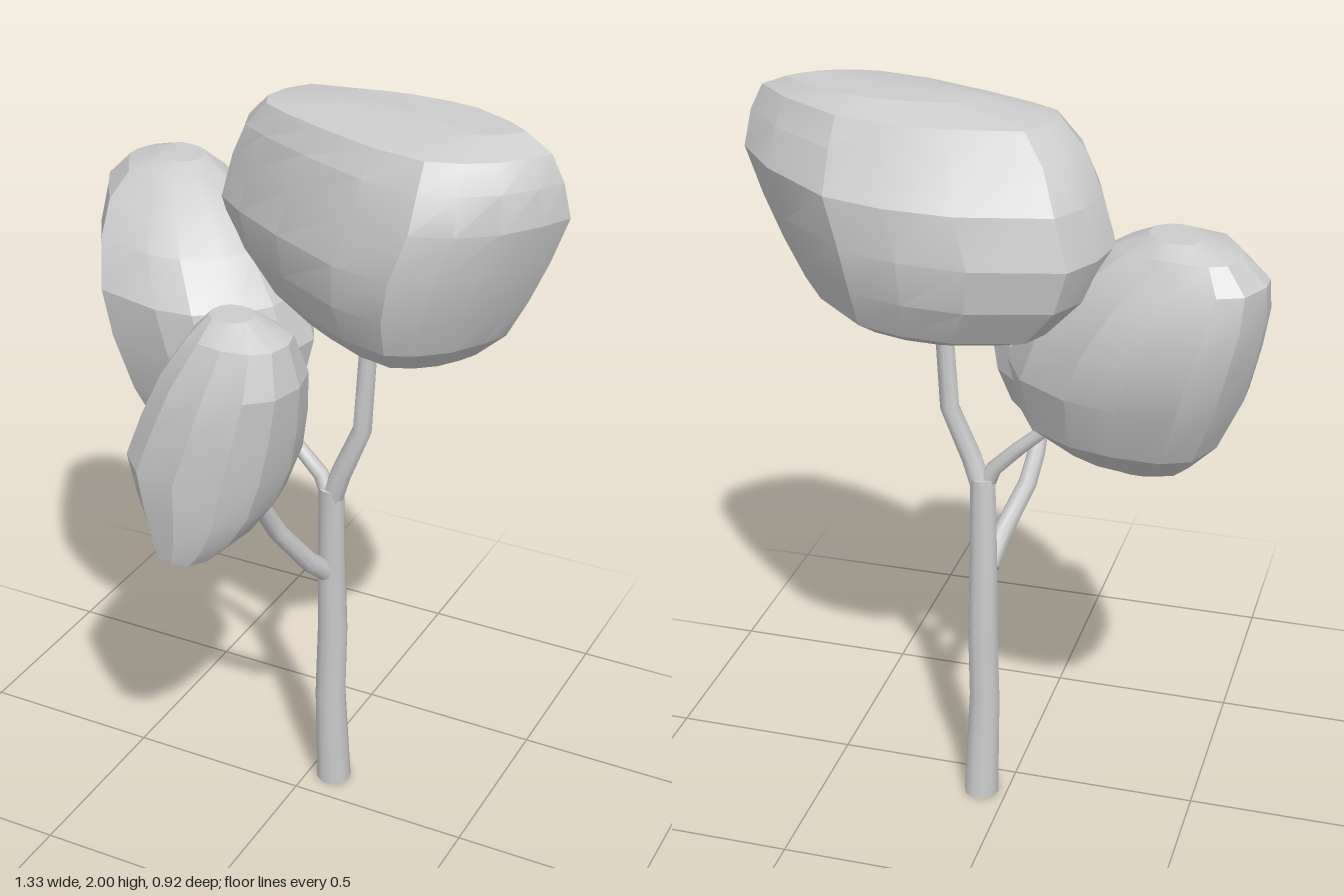
import * as THREE from 'three';
import { toCreasedNormals } from 'three/addons/utils/BufferGeometryUtils.js';

const material = new THREE.MeshStandardMaterial({ color: 0xcccccc });

// Skin a stack of equal-length rings and close both ends
function loft(rings, crease) {
  const n = rings[0].length, pos = [], index = [];
  rings.forEach((r) => r.forEach((p) => pos.push(p.x, p.y, p.z)));
  for (let k = 0; k < rings.length - 1; k++) {
    for (let i = 0; i < n; i++) {
      const a = k * n + i, b = k * n + ((i + 1) % n);
      index.push(a, a + n, b, b, a + n, b + n);
    }
  }
  const cap = (k, top) => {
    const c = new THREE.Vector3();
    rings[k].forEach((p) => c.addScaledVector(p, 1 / n));
    const ci = pos.length / 3;
    pos.push(c.x, c.y, c.z);
    for (let i = 0; i < n; i++) {
      const a = k * n + i, b = k * n + ((i + 1) % n);
      if (top) index.push(a, ci, b);
      else index.push(b, ci, a);
    }
  };
  cap(0, false);
  cap(rings.length - 1, true);
  const g = new THREE.BufferGeometry();
  g.setAttribute('position', new THREE.Float32BufferAttribute(pos, 3));
  g.setIndex(index);
  return toCreasedNormals(g, crease);
}

// Leaf mass: a plan outline [x, z] fitted into each level [y, xMin, xMax, zMin, zMax]
function crown(name, outline, levels) {
  const box = new THREE.Box2().setFromPoints(outline.map(([x, z]) => new THREE.Vector2(x, z)));
  const { min, max } = box;
  const rings = levels.map(([y, x0, x1, z0, z1]) => outline.map(([x, z]) => new THREE.Vector3(
    THREE.MathUtils.mapLinear(x, min.x, max.x, x0, x1), y,
    THREE.MathUtils.mapLinear(z, min.y, max.y, z0, z1))));
  const mesh = new THREE.Mesh(loft(rings, 0.32), material);
  mesh.name = name;
  return mesh;
}

// Tapered limb through points [x, y, z, radius]
function limb(name, points, sides = 8) {
  const at = points.map(([x, y, z]) => new THREE.Vector3(x, y, z));
  const rings = points.map(([, , , r], k) => {
    const w = at[Math.min(k + 1, at.length - 1)].clone().sub(at[Math.max(k - 1, 0)]).normalize();
    if (k === 0 && at[0].y === 0) w.set(0, 1, 0);
    const u = new THREE.Vector3(1, 0, 0).addScaledVector(w, -w.x).normalize();
    const v = u.clone().cross(w);
    return Array.from({ length: sides }, (_, i) => {
      const t = (i / sides) * Math.PI * 2;
      return at[k].clone().addScaledVector(u, r * Math.cos(t)).addScaledVector(v, r * Math.sin(t));
    });
  });
  const mesh = new THREE.Mesh(loft(rings, 0.9), material);
  mesh.name = name;
  return mesh;
}

export function createModel() {
  const tree = new THREE.Group();
  tree.name = 'tree';

  // Trunk and its three branches
  tree.add(
    limb('trunk', [
      [0.071, 0, -0.098, 0.048], [0.064, 0.3, -0.085, 0.042], [0.066, 0.5, -0.09, 0.041],
      [0.066, 0.75, -0.078, 0.037], [0.07, 0.96, -0.066, 0.034],
    ], 10),
    limb('upperBranch', [
      [0.07, 0.92, -0.066, 0.03], [0.1, 1.01, -0.062, 0.028],
      [0.157, 1.15, -0.064, 0.026], [0.17, 1.45, -0.072, 0.024],
    ]),
    limb('rightBranch', [
      [0.07, 0.92, -0.065, 0.024], [0.04, 0.99, -0.065, 0.021],
      [-0.03, 1.06, -0.066, 0.019], [-0.13, 1.15, -0.07, 0.016],
    ]),
    limb('frontBranch', [
      [0.055, 0.7, -0.065, 0.03], [0.04, 0.76, 0.005, 0.027],
      [-0.01, 0.88, 0.085, 0.025], [-0.022, 0.95, 0.125, 0.024], [-0.025, 1.06, 0.2, 0.021],
    ]),
  );

  // Large leaf mass at the top
  tree.add(crown('topCrown', [
    [0.66, -0.1], [0.62, -0.02], [0.55, 0.08], [0.46, 0.15], [0.36, 0.19], [0.19, 0.15], [-0.02, 0.045],
    [-0.18, -0.05], [-0.27, -0.12], [-0.3, -0.21], [-0.28, -0.32], [-0.23, -0.41], [0, -0.465],
    [0.18, -0.455], [0.34, -0.41], [0.54, -0.25],
  ], [
    [1.39, 0.13, 0.4, -0.17, -0.02], [1.42, -0.05, 0.45, -0.28, 0.08], [1.48, -0.17, 0.52, -0.395, 0.14],
    [1.58, -0.26, 0.572, -0.447, 0.18], [1.69, -0.3, 0.62, -0.463, 0.193], [1.81, -0.265, 0.663, -0.44, 0.178],
    [1.9, -0.215, 0.648, -0.36, 0.145], [1.965, -0.15, 0.615, -0.3, 0.1], [1.998, 0.05, 0.54, -0.22, -0.01],
  ]));

  // Leaning leaf mass on the right
  tree.add(crown('rightCrown', [
    [-0.02, -0.14], [-0.04, -0.02], [-0.1, 0.06], [-0.21, 0.125], [-0.32, 0.135], [-0.52, 0.09], [-0.6, -0.035],
    [-0.665, -0.16], [-0.665, -0.24], [-0.61, -0.36], [-0.52, -0.4], [-0.37, -0.395], [-0.23, -0.36], [-0.09, -0.27],
  ], [
    [1.05, -0.39, -0.26, -0.12, 0.01], [1.085, -0.475, -0.15, -0.18, 0.05], [1.19, -0.555, -0.045, -0.312, 0.1],
    [1.34, -0.62, -0.015, -0.378, 0.13], [1.46, -0.648, -0.06, -0.4, 0.125], [1.57, -0.667, -0.15, -0.395, 0.055],
    [1.65, -0.665, -0.23, -0.37, -0.03], [1.71, -0.605, -0.32, -0.335, -0.095], [1.74, -0.51, -0.38, -0.29, -0.16],
  ]));

  // Small low leaf mass at the front, a slightly squared round in plan
  const soften = (v) => Math.sign(v) * Math.abs(v) ** 0.87;
  const round = Array.from({ length: 12 }, (_, i) => i * Math.PI / 6)
    .map((t) => [soften(Math.cos(t)), soften(Math.sin(t))]);
  tree.add(crown('frontCrown', round, [
    [0.915, -0.18, -0.09, 0.27, 0.37], [0.945, -0.205, -0.04, 0.21, 0.44], [1, -0.235, 0.02, 0.13, 0.45],
    [1.08, -0.275, 0.075, 0.07, 0.457], [1.18, -0.308, 0.11, 0.035, 0.46], [1.3, -0.26, 0.135, 0.07, 0.447],
    [1.42, -0.2, 0.15, 0.115, 0.433], [1.53, -0.125, 0.125, 0.18, 0.385], [1.578, -0.08, 0.03, 0.23, 0.33],
  ]));

  return tree;
}
